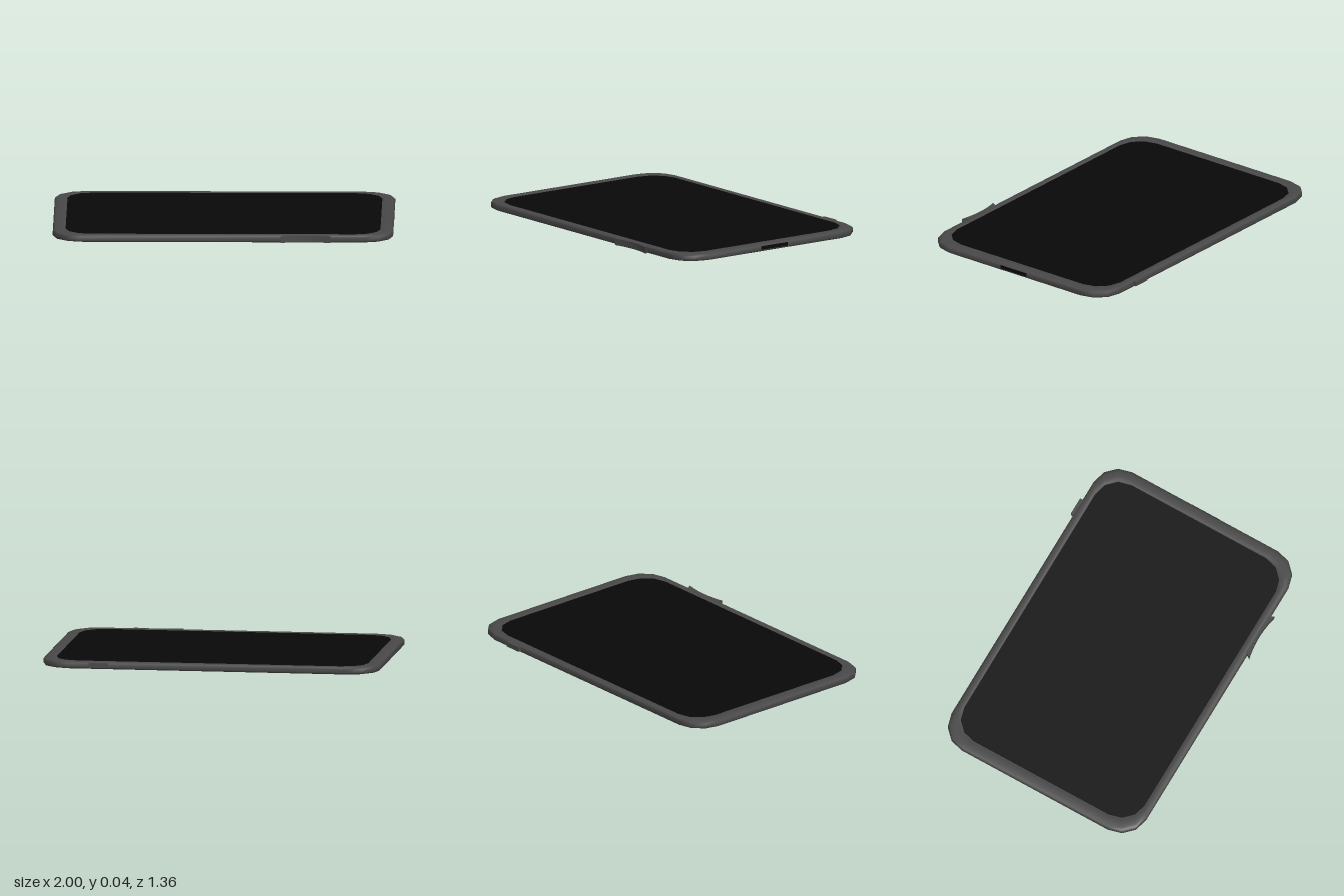
import * as THREE from 'three';

const MID_Z = -0.003; // centre of the case in depth
const mat = (color) => new THREE.MeshStandardMaterial({ color, roughness: 0.8 });

// Rounded rectangle loop with three-sided corners, running from +x towards +z
function ring(hx, hz, r, y) {
  const points = [];
  for (let q = 0; q < 4; q++) {
    const cx = (q === 0 || q === 3 ? 1 : -1) * (hx - r);
    const cz = (q < 2 ? 1 : -1) * (hz - r);
    for (let i = 0; i <= 3; i++) {
      const a = (q + i / 3) * Math.PI / 2;
      points.push([cx + r * Math.cos(a), y, cz + r * Math.sin(a) + MID_Z]);
    }
  }
  return points;
}

// Ring at fraction t between the outer edge (0) and the screen edge (1)
const caseRing = (t, y) => ring(1 - 0.075 * t, 0.66 - 0.048 * t, 0.165 - 0.01 * t, y);

// Smooth strips joining successive rings
function loft(rings) {
  const n = rings[0].length, index = [];
  for (let i = 0; i < rings.length - 1; i++) {
    for (let j = 0; j < n; j++) {
      const k = (j + 1) % n;
      const a = i * n + j, b = i * n + k, c = a + n, d = b + n;
      index.push(a, c, b, b, c, d);
    }
  }
  return build(rings.flat(), index);
}

// Flat lid over one ring, facing up or down
function cap(points, up) {
  const n = points.length, index = [];
  for (let j = 0; j < n; j++) {
    const k = (j + 1) % n;
    index.push(n, up ? k : j, up ? j : k);
  }
  return build([...points, [0, points[0][1], MID_Z]], index);
}

function build(points, index) {
  const g = new THREE.BufferGeometry();
  g.setAttribute('position', new THREE.Float32BufferAttribute(points.flat(), 3));
  g.setIndex(index);
  g.computeVertexNormals();
  return g;
}

export function createModel() {
  const model = new THREE.Group();
  model.name = 'tablet';
  const caseMat = mat(0x484848), blackMat = mat(0x080808);
  const add = (name, geometry, material, x = 0, y = 0, z = 0) => {
    const mesh = new THREE.Mesh(geometry, material);
    mesh.name = name;
    mesh.position.set(x, y, z);
    model.add(mesh);
    return mesh;
  };

  // Case: rounded side wall, bezel and a small lip down to the screen
  const profile = [
    [0.25, 0], [0.07, 0.003], [0, 0.011], [0, 0.032], [0.1, 0.039],
    [0.3, 0.0435], [0.6, 0.0445], [0.84, 0.0435], [0.9, 0.041], [1, 0.041],
  ];
  add('caseShell', loft(profile.map(([t, y]) => caseRing(t, y))), caseMat);
  add('backPanel', cap(caseRing(0.25, 0), false), caseMat);

  // Screen
  add('screen', cap(caseRing(1, 0.041), true), blackMat);

  // Port slot on the left end
  add('port', new THREE.BoxGeometry(0.01, 0.021, 0.196), blackMat, 0.9955, 0.023, 0.002);

  // Power button on the back edge
  add('powerButton', new THREE.BoxGeometry(0.11, 0.028, 0.03), caseMat, 0.65, 0.024, -0.665);

  // Volume rocker on the front edge, dished in the middle
  const dish = new THREE.Shape();
  dish.moveTo(0.36, 0.645);
  dish.lineTo(0.635 - 0.02, 0.645);
  dish.lineTo(0.635, 0.678);
  dish.quadraticCurveTo(0.4875, 0.642, 0.34, 0.678);
  dish.closePath();
  const rocker = new THREE.ExtrudeGeometry(dish, { depth: 0.039, bevelEnabled: false, curveSegments: 10 });
  rocker.rotateX(Math.PI / 2);
  add('volumeRocker', rocker, caseMat, 0, 0.042, 0);

  return model;
}
